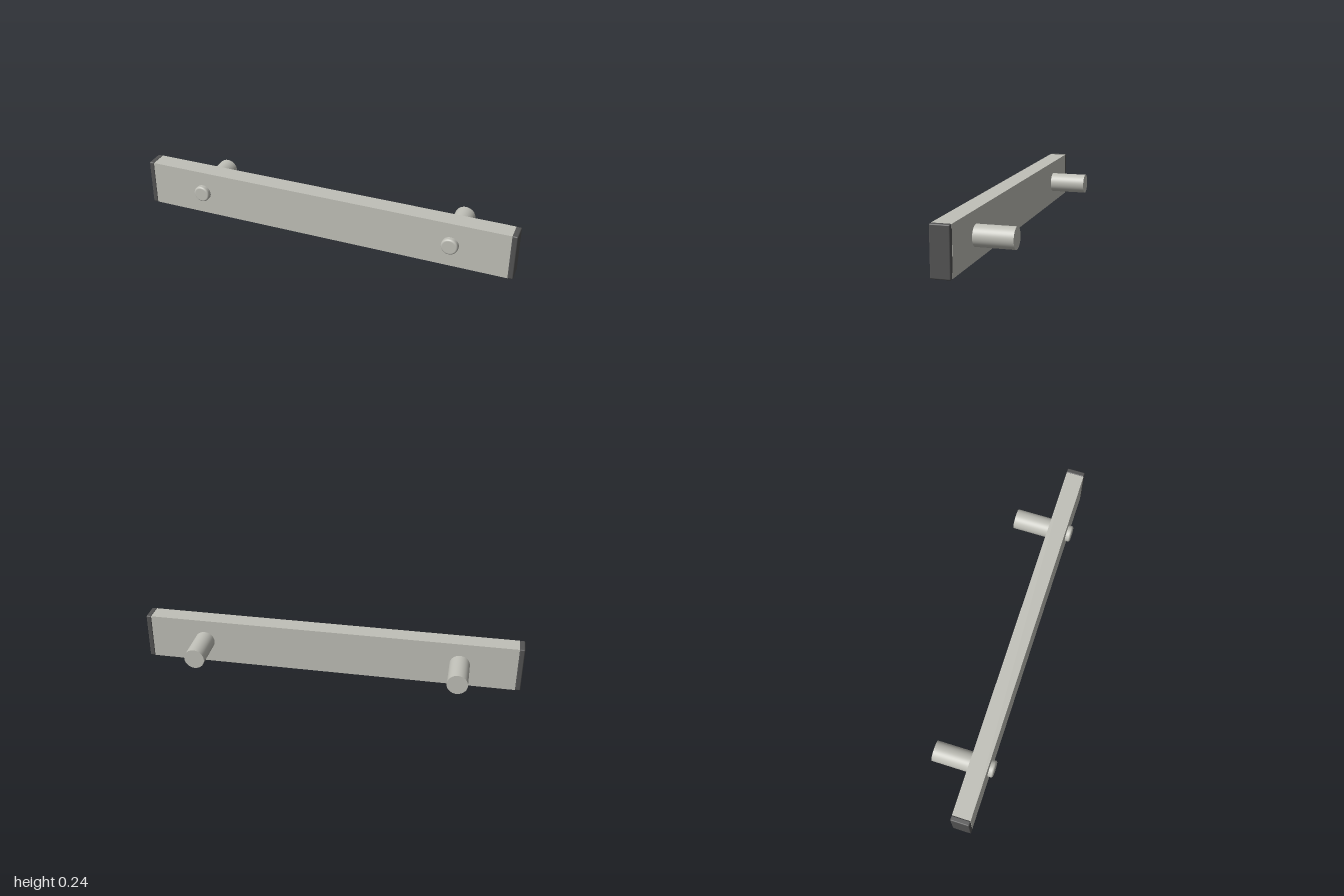
import * as THREE from 'three';
import { RoundedBoxGeometry } from 'three/addons/geometries/RoundedBoxGeometry.js';

const HEIGHT = 0.243, MID_Y = HEIGHT / 2;
const BACK = 0.038, FRONT = 0.134, DEPTH = FRONT - BACK, MID_Z = (FRONT + BACK) / 2;
const CAP = 0.027, POST_X = 0.68;

export function createModel() {
  const metal = new THREE.MeshStandardMaterial({ color: 0xc0c0b8 });
  metal.name = 'brushed metal';
  const plastic = new THREE.MeshStandardMaterial({ color: 0x535353 });
  plastic.name = 'dark plastic';

  const model = new THREE.Group();
  model.name = 'rail';
  const add = (name, geometry, material, x, y, z) => {
    const mesh = new THREE.Mesh(geometry, material);
    mesh.name = name;
    mesh.position.set(x, y, z);
    model.add(mesh);
  };

  // Flat bar
  add('bar', new THREE.BoxGeometry(2 - 2 * CAP, HEIGHT - 0.002, DEPTH - 0.002), metal, 0, MID_Y, MID_Z);

  // Softly rounded end cap, round standoff post and filleted screw head
  const capGeometry = new RoundedBoxGeometry(CAP, HEIGHT, DEPTH, 3, 0.006);
  const postGeometry = new THREE.CylinderGeometry(0.053, 0.053, BACK + 0.157, 48).rotateX(Math.PI / 2);

  const r = 0.0435, h = FRONT - 0.004, top = 0.159, fillet = 0.01;
  const profile = new THREE.Path();
  profile.moveTo(r, h);
  profile.lineTo(r, top - fillet);
  profile.absarc(r - fillet, top - fillet, fillet, 0, Math.PI / 2, false);
  profile.lineTo(0, top);
  const headGeometry = new THREE.LatheGeometry(profile.getPoints(8), 48).rotateX(Math.PI / 2);

  for (const [side, s] of [['left', 1], ['right', -1]]) {
    add(`${side}EndCap`, capGeometry, plastic, s * (1 - CAP / 2), MID_Y, MID_Z);
    add(`${side}Post`, postGeometry, metal, s * POST_X, MID_Y + 0.001, (BACK - 0.157) / 2);
    add(`${side}ScrewHead`, headGeometry, metal, s * POST_X, MID_Y + 0.001, 0);
  }
  return model;
}
